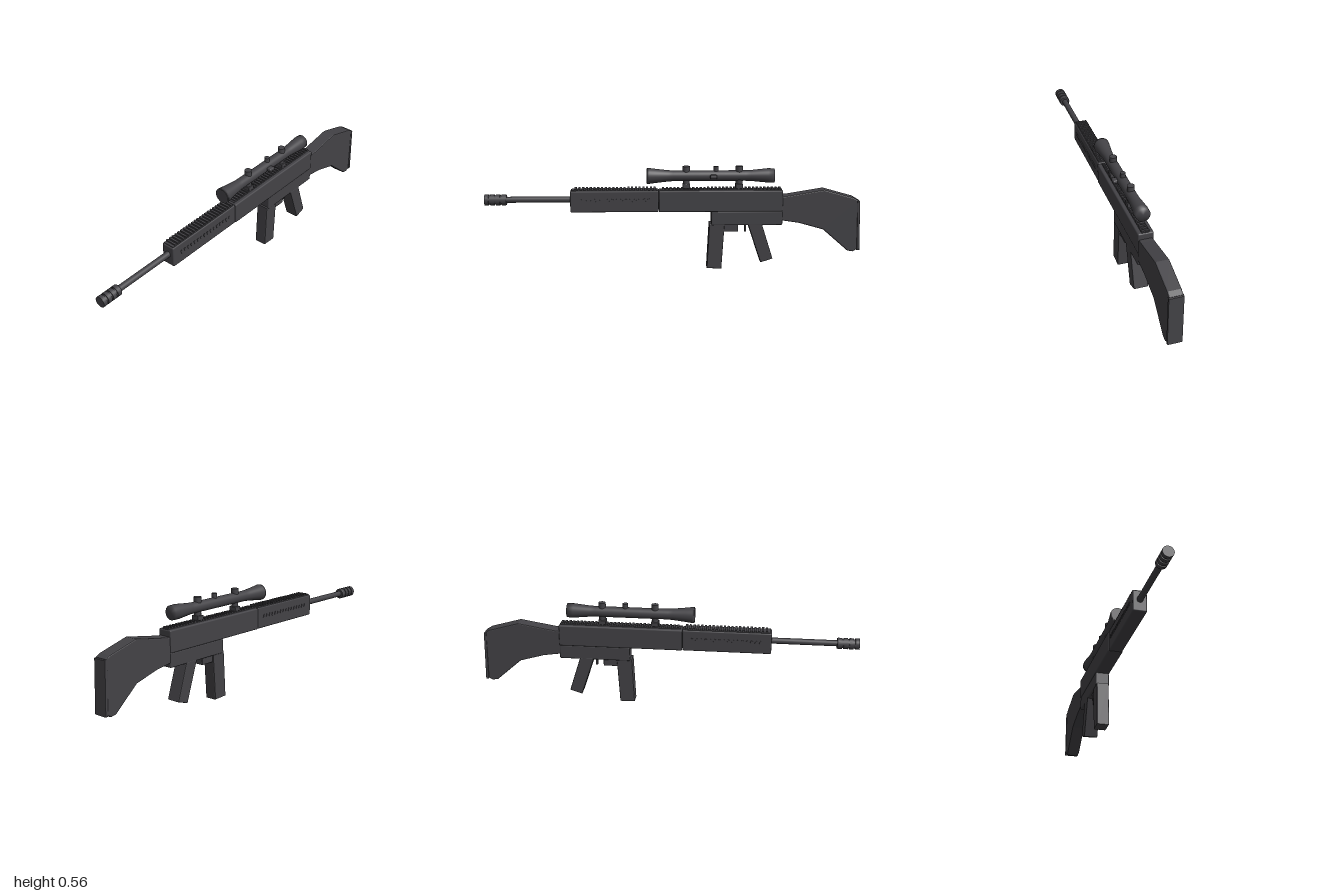
import * as THREE from 'three';
import { RoundedBoxGeometry } from 'three/addons/geometries/RoundedBoxGeometry.js';

export function createModel() {
  const root = new THREE.Group();
  root.name = 'scopedRifle';
  const body = new THREE.Group();
  body.position.x = -0.005; // the side knob shifts the body off centre
  root.add(body);

  const gunmetal = new THREE.MeshStandardMaterial({ color: 0x434246 });
  gunmetal.name = 'gunmetal';

  const add = (name, geo, x = 0, y = 0, z = 0) => {
    const m = new THREE.Mesh(geo, gunmetal);
    m.name = name;
    m.position.set(x, y, z);
    body.add(m);
    return m;
  };
  // Box given by its y and z extents
  const box = (name, w, y0, y1, z0, z1, r = 0) => add(name,
    r ? new RoundedBoxGeometry(w, y1 - y0, z1 - z0, 2, r)
      : new THREE.BoxGeometry(w, y1 - y0, z1 - z0), 0, (y0 + y1) / 2, (z0 + z1) / 2);
  // Lathe along z from [radius, z] points, running from back to front
  const turned = (name, y, pts) => {
    const g = new THREE.LatheGeometry(pts.map(([r, z]) => new THREE.Vector2(r, z)), 32);
    g.rotateX(Math.PI / 2);
    return add(name, g, 0, y, 0);
  };
  const post = (name, r, y0, y1, z) =>
    add(name, new THREE.CylinderGeometry(r, r, y1 - y0, 24), 0, (y0 + y1) / 2, z);
  // Bevelled side profile from [z, y] points, extruded across the width
  const slab = (name, width, pts, bevel = 0.005) => {
    const shape = new THREE.Shape(pts.map(([z, y]) => new THREE.Vector2(-z, y)));
    const g = new THREE.ExtrudeGeometry(shape, {
      depth: width - 2 * bevel, bevelEnabled: true, bevelThickness: bevel,
      bevelSize: bevel, bevelOffset: -bevel, bevelSegments: 2,
    });
    g.translate(0, 0, bevel - width / 2);
    g.rotateY(Math.PI / 2);
    return add(name, g);
  };

  // Barrel and ringed muzzle
  const barrel = add('barrel', new THREE.CylinderGeometry(0.016, 0.016, 0.4, 24), 0, 0.38, 0.72);
  barrel.rotation.x = Math.PI / 2;
  const muzzle = [[0, 0.885], [0.027, 0.885]];
  for (const z of [0.91, 0.94, 0.97])
    muzzle.push([0.029, z - 0.02], [0.029, z], [0.024, z], [0.024, z + 0.008], [0.029, z + 0.008]);
  muzzle.push([0.029, 1], [0, 1]);
  const sharpMuzzle = turned('muzzleBrake', 0.38, muzzle);
  sharpMuzzle.geometry = sharpMuzzle.geometry.toNonIndexed();
  sharpMuzzle.geometry.computeVertexNormals();

  // Handguard and receiver
  box('handguard', 0.074, 0.316, 0.431, 0.08, 0.547, 0.007);
  box('receiver', 0.081, 0.316, 0.431, -0.58, 0.079, 0.007);
  box('lowerReceiver', 0.076, 0.242, 0.318, -0.58, -0.2, 0.006);

  // Toothed rails on top
  const rail = (name, w, z0, z1, step) => {
    box(name + 'Base', w, 0.427, 0.434, z0, z1);
    for (let z = z0 + step / 2; z < z1; z += step)
      box(name + 'Tooth', w, 0.43, 0.441, z - step * 0.28, z + step * 0.28);
  };
  rail('frontRail', 0.062, 0.09, 0.54, 0.02);
  rail('rearRail', 0.04, -0.575, 0.07, 0.02);

  // Row of vent ribs on both handguard sides
  for (const s of [-1, 1])
    for (let i = 0; i < 16; i++) {
      const vent = add('ventRib', new THREE.BoxGeometry(0.006, 0.018, 0.009), s * 0.037, 0.38, 0.13 + i * 0.024);
      vent.rotation.x = 0.35;
    }

  // Stock and butt plate
  slab('stock', 0.072, [
    [-0.57, 0.397], [-0.605, 0.4], [-0.8, 0.432], [-0.96, 0.387], [-0.985, 0.372],
    [-0.985, 0.105], [-0.965, 0.092], [-0.935, 0.097], [-0.8, 0.215], [-0.67, 0.252], [-0.57, 0.267],
  ], 0.006);
  slab('buttPlate', 0.076, [[-0.978, 0.372], [-0.992, 0.368], [-1, 0.1], [-0.985, 0.1]], 0.003);

  // Magazine, grip and trigger group
  slab('magazine', 0.068, [[-0.19, 0.25], [-0.272, 0.25], [-0.257, 0], [-0.178, 0.004]]);
  slab('grip', 0.077, [[-0.395, 0.25], [-0.47, 0.25], [-0.532, 0.056], [-0.467, 0.035]]);
  box('magazineCatch', 0.052, 0.204, 0.25, -0.345, -0.265, 0.004);
  box('trigger', 0.014, 0.2, 0.25, -0.39, -0.38);

  // Scope
  turned('scope', 0.505, [
    [0, -0.535], [0.037, -0.535], [0.038, -0.5], [0.029, -0.41], [0.028, -0.38], [0.028, 0],
    [0.03, 0.03], [0.038, 0.1], [0.042, 0.13], [0.042, 0.14], [0, 0.14],
  ]);
  const lens = add('scopeLens', new THREE.CylinderGeometry(0.039, 0.039, 0.004, 32), 0, 0.505, 0.14);
  lens.rotation.x = Math.PI / 2;
  for (const z of [-0.067, -0.348]) {
    box('mountBase', 0.044, 0.438, 0.462, z - 0.02, z + 0.02, 0.003);
    post('mountPost', 0.018, 0.455, 0.49, z);
    post('mountCap', 0.019, 0.52, 0.556, z);
  }
  post('elevationKnob', 0.014, 0.52, 0.555, -0.225);
  const knob = add('windageKnob', new RoundedBoxGeometry(0.03, 0.02, 0.036, 2, 0.006), 0.036, 0.505, -0.21);
  knob.scale.set(1, 1, 1);

  return root;
}
